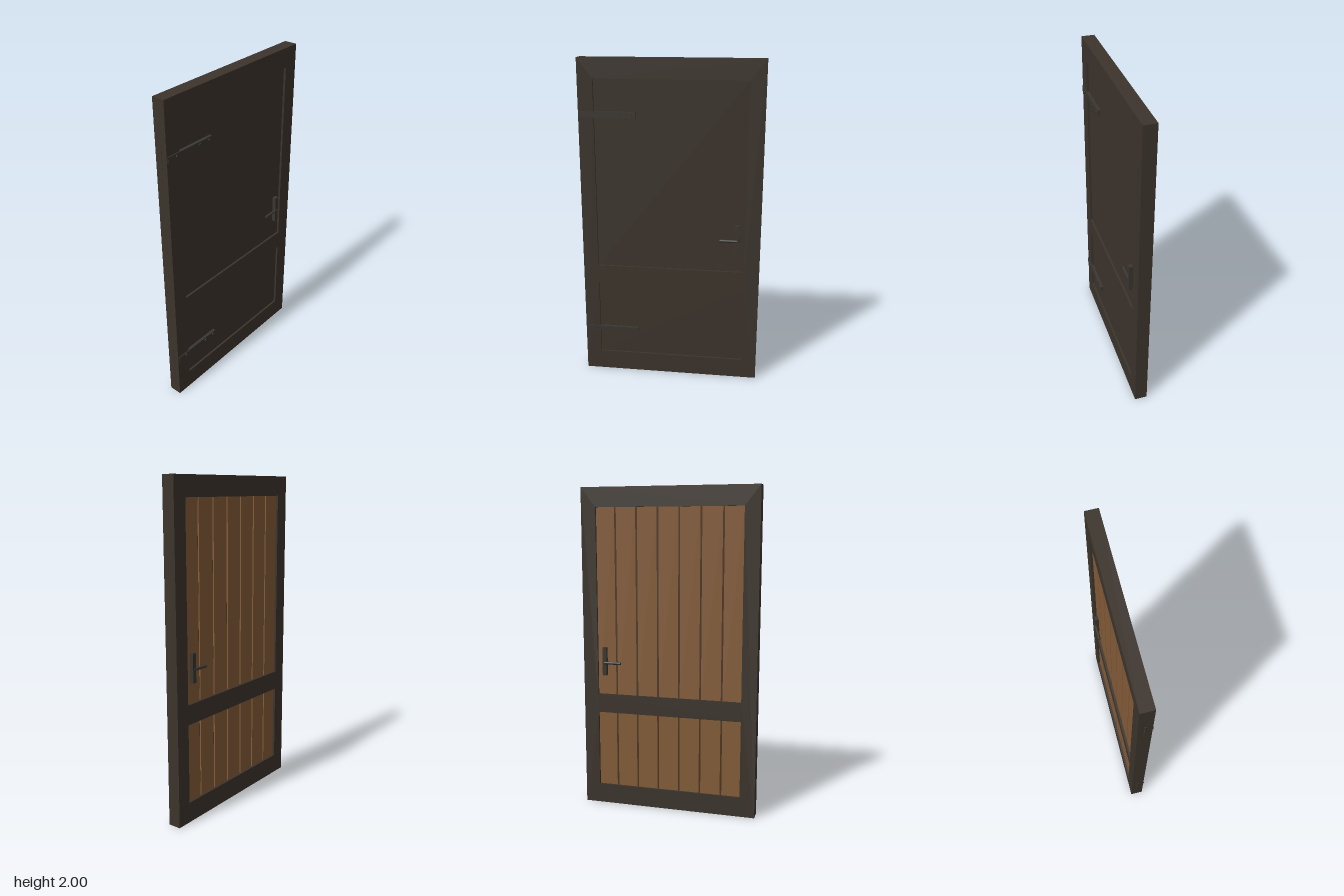
import * as THREE from 'three';

const mat = (name, color) => {
  const m = new THREE.MeshStandardMaterial({ color });
  m.name = name;
  return m;
};

export function createModel() {
  const door = new THREE.Group();
  door.name = 'door';
  const dark = mat('dark paint', 0x3c342c);
  const wood = mat('warm wood', 0x845c38);
  const groove = mat('groove wood', 0x4a3420);
  const metal = mat('dark iron', 0x3a3630);

  const add = (parent, name, geometry, material, x, y, z) => {
    const mesh = new THREE.Mesh(geometry, material);
    mesh.name = name;
    mesh.position.set(x, y, z);
    parent.add(mesh);
    return mesh;
  };
  const box = (w, h, d) => new THREE.BoxGeometry(w, h, d);

  const W = 0.55, T = 0.039, IN = 0.457;
  const openings = [[0.123, 0.603], [0.722, 1.88]];

  // Frame with two openings
  const outline = (C, x, y0, y1) => new C([[-x, y0], [x, y0], [x, y1], [-x, y1]].map(p => new THREE.Vector2(...p)));
  const shape = outline(THREE.Shape, W, 0, 2);
  openings.forEach(([y0, y1]) => shape.holes.push(outline(THREE.Path, IN, y0, y1)));
  add(door, 'frame', new THREE.ExtrudeGeometry(shape, { depth: 2 * T, bevelEnabled: false }), dark, 0, 0, -T);

  // Smooth panel on the front, vertical planks on the back
  const pitch = 0.134, gap = 0.011;
  for (const [y0, y1] of openings) {
    const h = y1 - y0, y = (y0 + y1) / 2;
    add(door, 'frontPanel', box(2 * IN, h, 0.026), dark, 0, y, 0.013);
    add(door, 'plankBacking', box(2 * IN, h, 0.018), groove, 0, y, -0.009);
    for (let i = -3; i <= 3; i++) {
      const a = Math.max(-IN, (i - 0.5) * pitch + gap / 2);
      const b = Math.min(IN, (i + 0.5) * pitch - gap / 2);
      add(door, 'plank', box(b - a, h, 0.026), wood, (a + b) / 2, y, -0.013);
    }
  }

  // Strap hinges with rivets and a knuckle on the edge
  for (const [y, pinY] of [[0.288, 0.287], [1.673, 1.673]]) {
    const hinge = new THREE.Group();
    hinge.name = 'hinge';
    door.add(hinge);
    add(hinge, 'strap', box(0.338, 0.034, 0.02), metal, -0.376, y, 0.035);
    for (const x of [-0.483, -0.304, -0.232]) {
      add(hinge, 'rivet', new THREE.CylinderGeometry(0.008, 0.008, 0.006, 12), metal, x, y, 0.047).rotation.x = Math.PI / 2;
    }
    add(hinge, 'knuckle', new THREE.CylinderGeometry(0.007, 0.007, 0.15, 12), metal, -W + 0.003, pinY, 0);
  }

  // Handle on each face
  for (const side of [1, -1]) {
    const handle = new THREE.Group();
    handle.name = side > 0 ? 'frontHandle' : 'backHandle';
    door.add(handle);
    add(handle, 'handlePlate', box(0.026, 0.176, 0.026), metal, 0.409, 0.933, side * 0.037);
    add(handle, 'lever', new THREE.CylinderGeometry(0.009, 0.009, 0.106, 12), metal, 0.357, 0.924, side * 0.046).rotation.z = Math.PI / 2;
  }
  return door;
}
